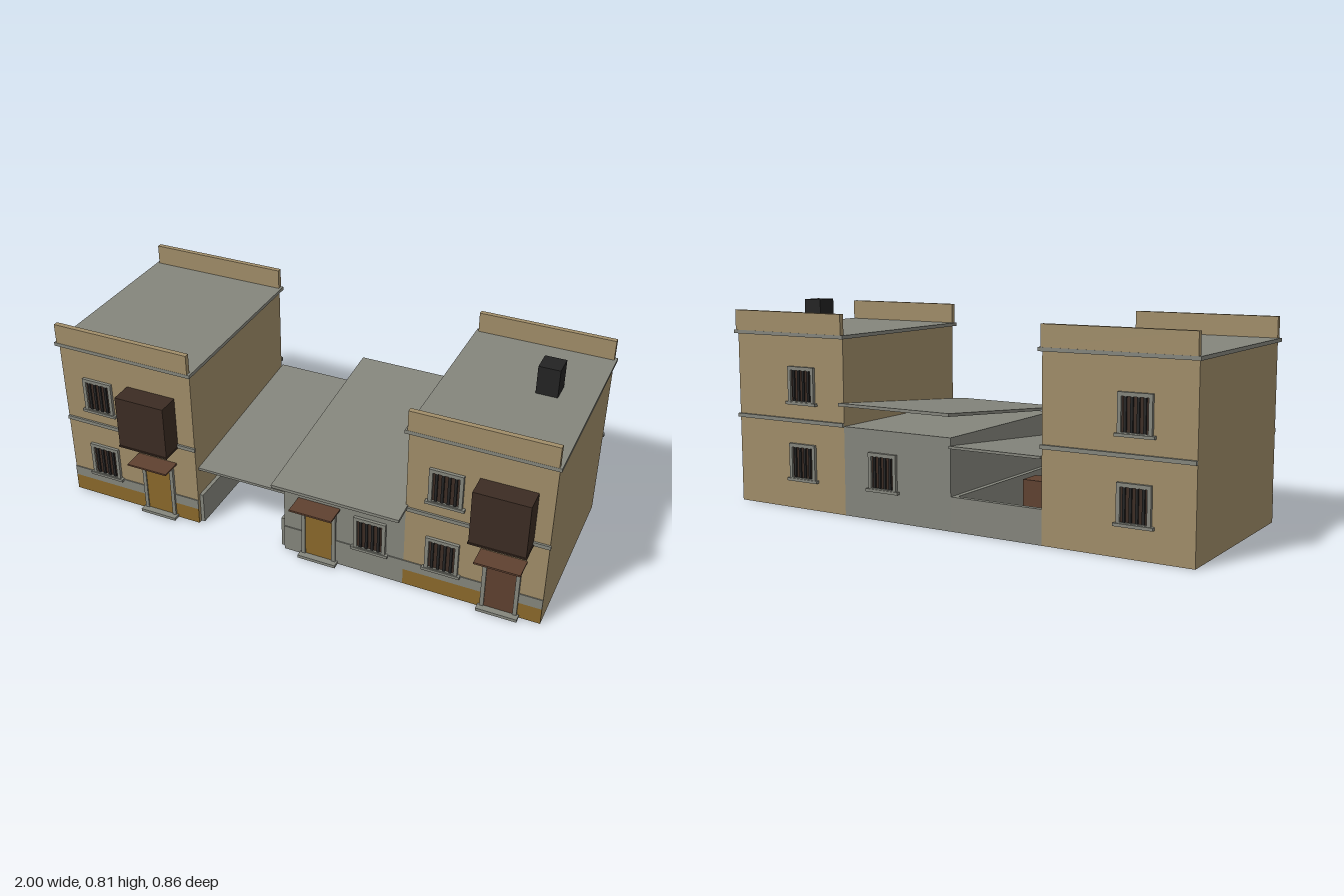
import * as THREE from 'three';

const mat = (name, color) => {
  const m = new THREE.MeshStandardMaterial({ color });
  m.name = name;
  return m;
};

export function createModel() {
  const tan = mat('tan plaster', 0xa08d69);
  const gray = mat('gray stone', 0x84857c);
  const ochre = mat('ochre paint', 0x8a692b);
  const brown = mat('brown wood', 0x5f4130);
  const dark = mat('dark wood', 0x3c2c23);
  const black = mat('black iron', 0x232323);

  const model = new THREE.Group();
  model.name = 'townhouses';
  const FRONT = 0.338, BACK = -0.41;

  // box given by its limits on each axis
  function box(parent, name, material, x0, x1, y0, y1, z0, z1) {
    const mesh = new THREE.Mesh(new THREE.BoxGeometry(x1 - x0, y1 - y0, z1 - z0), material);
    mesh.position.set((x0 + x1) / 2, (y0 + y1) / 2, (z0 + z1) / 2);
    mesh.name = name;
    parent.add(mesh);
    return mesh;
  }

  function group(name, x, y, z, turned = false) {
    const g = new THREE.Group();
    g.name = name;
    g.position.set(x, y, z);
    if (turned) g.rotation.y = Math.PI;
    model.add(g);
    return g;
  }

  // rectangular surround with a rectangular opening
  function surround(parent, name, w, h, iw, iy0, iy1, depth) {
    const s = new THREE.Shape([[-w, 0], [w, 0], [w, h], [-w, h]].map(p => new THREE.Vector2(...p)));
    s.holes.push(new THREE.Path([[-iw, iy0], [-iw, iy1], [iw, iy1], [iw, iy0]].map(p => new THREE.Vector2(...p))));
    const mesh = new THREE.Mesh(new THREE.ExtrudeGeometry(s, { depth, bevelEnabled: false }), gray);
    mesh.name = name;
    parent.add(mesh);
  }

  // barred window; y is the underside of the sill
  function barredWindow(x, y, turned) {
    const g = group('window', x, y, turned ? BACK : FRONT, turned);
    box(g, 'windowSill', gray, -0.074, 0.074, 0, 0.011, 0, 0.016);
    surround(g, 'windowFrame', 0.064, 0.15, 0.05, 0.015, 0.136, 0.012);
    box(g, 'windowPane', dark, -0.05, 0.05, 0.015, 0.136, 0, 0.004);
    for (let i = 0; i < 4; i++) {
      const bx = -0.036 + i * 0.024;
      box(g, 'windowBar', black, bx - 0.005, bx + 0.005, 0.015, 0.136, 0.004, 0.01);
    }
  }

  // door with surround, step and thin canopy
  function door(x, material) {
    const g = group('door', x, 0, FRONT);
    surround(g, 'doorFrame', 0.07, 0.24, 0.055, 0.012, 0.225, 0.012);
    box(g, 'doorLeaf', material, -0.055, 0.055, 0.012, 0.225, 0, 0.007);
    box(g, 'doorStep', gray, -0.078, 0.078, 0, 0.012, 0, 0.034);
    box(g, 'doorCanopy', brown, -0.086, 0.086, 0.257, 0.264, 0, 0.084);
  }

  // sloping slab, low at the front and high at the back
  function slopedRoof(name, x0, x1, z0, z1, yBack, yFront, t) {
    const s = new THREE.Shape([[-z1, yFront - t], [-z0, yBack - t], [-z0, yBack], [-z1, yFront]]
      .map(p => new THREE.Vector2(...p)));
    const geo = new THREE.ExtrudeGeometry(s, { depth: x1 - x0, bevelEnabled: false });
    geo.rotateY(Math.PI / 2);
    const mesh = new THREE.Mesh(geo, gray);
    mesh.position.x = x0;
    mesh.name = name;
    model.add(mesh);
  }

  // two-storey house with roof slab, parapets and string courses
  function house(name, x0, x1, frontWindow, backWindow, doorX, doorMaterial) {
    const g = group(name, 0, 0, 0);
    box(g, 'walls', tan, x0, x1, 0, 0.685, BACK, FRONT);
    box(g, 'roofSlab', gray, x0 - 0.01, x1 + 0.01, 0.684, 0.698, -0.425, 0.355);
    box(g, 'frontParapet', tan, x0, x1, 0.698, 0.778, 0.334, 0.354);
    box(g, 'backParapet', tan, x0, x1, 0.698, 0.778, -0.424, -0.404);
    box(g, 'frontCourse', gray, x0, x1 + 0.004, 0.345, 0.36, FRONT, 0.346);
    box(g, 'backCourse', gray, x0, x1 + 0.004, 0.345, 0.36, -0.42, BACK);
    box(g, 'paintedBase', ochre, x0, x1, 0, 0.068, FRONT, 0.342);
    box(g, 'baseStripe', gray, x0, x1, 0.068, 0.11, FRONT, 0.342);
    for (const y of [0.103, 0.408]) {
      barredWindow(frontWindow, y, false);
      barredWindow(backWindow, y + 0.008, true);
    }
    door(doorX, doorMaterial);
    // enclosed balcony over the door
    const bx = doorX - 0.005;
    box(g, 'balcony', dark, bx - 0.104, bx + 0.104, 0.345, 0.566, FRONT, 0.425);
    box(g, 'balconyLip', dark, bx - 0.107, bx + 0.107, 0.344, 0.35, FRONT, 0.429);
  }
  house('rightHouse', -0.99, -0.415, -0.832, -0.77, -0.588, ochre);
  house('leftHouse', 0.455, 0.988, 0.603, 0.66, 0.83, brown);
  box(model, 'chimney', black, 0.785, 0.867, 0.698, 0.81, -0.143, -0.059);

  // low building in the middle
  box(model, 'middleWalls', gray, -0.035, 0.455, 0, 0.348, BACK, FRONT);
  box(model, 'middleBase', gray, -0.035, 0.455, 0, 0.11, FRONT, 0.342);
  slopedRoof('middleRoof', -0.043, 0.463, -0.434, 0.426, 0.441, 0.36, 0.012);
  door(0.112, ochre);
  barredWindow(0.32, 0.103, false);
  barredWindow(0.27, 0.111, true);

  // covered yard with low walls and a crate
  slopedRoof('yardRoof', -0.415, -0.035, -0.423, 0.32, 0.32, 0.256, 0.01);
  box(model, 'yardBackWall', gray, -0.415, -0.035, 0, 0.13, BACK, -0.39);
  box(model, 'yardSideWall', gray, -0.415, -0.4, 0, 0.13, -0.39, 0.325);
  box(model, 'yardSideWall', gray, -0.055, -0.035, 0, 0.13, -0.39, 0.325);
  box(model, 'crate', brown, -0.322, -0.132, 0.022, 0.143, -0.055, 0.04);

  return model;
}
